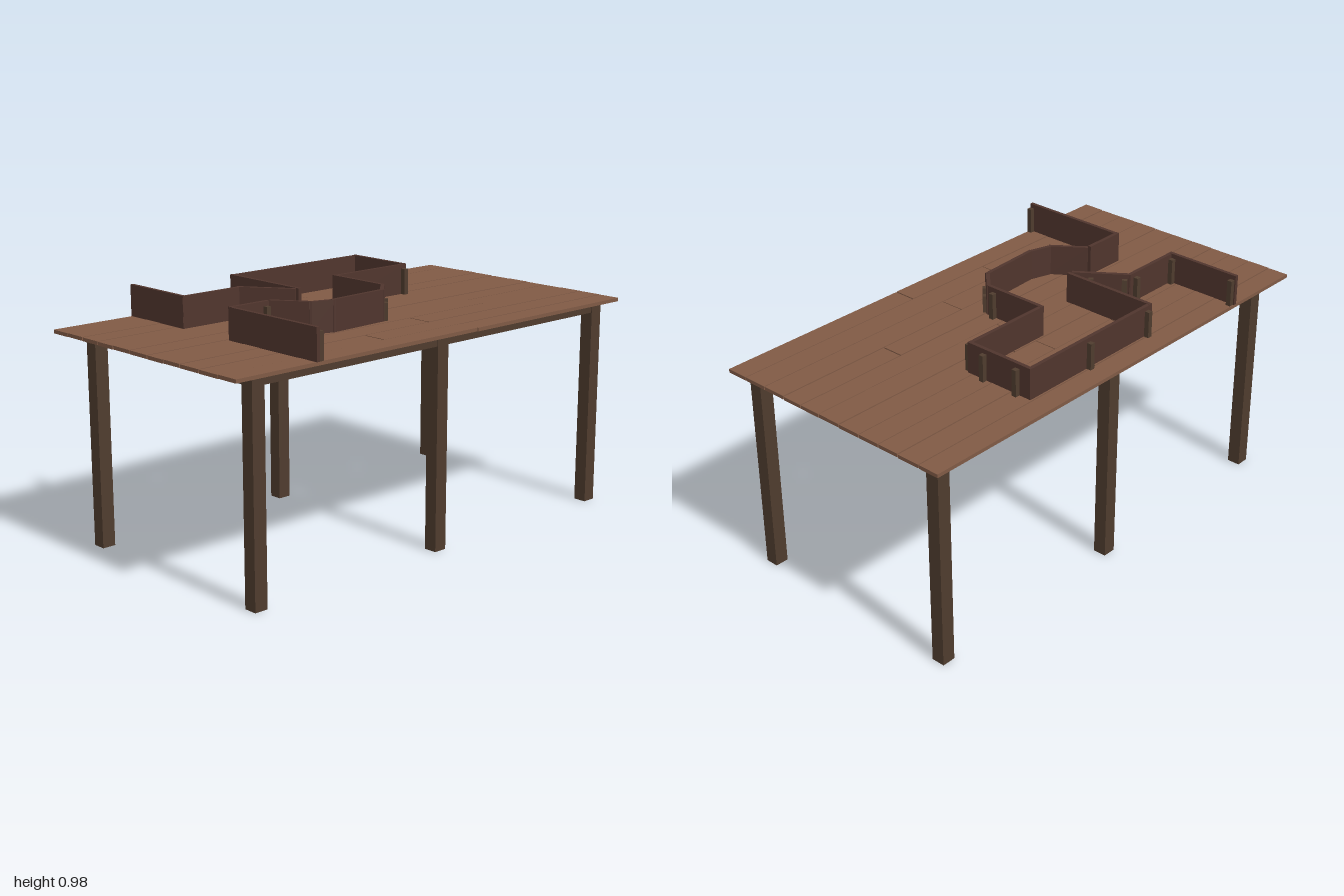
import * as THREE from 'three';

export function createModel() {
  const model = new THREE.Group();
  const material = (color) => new THREE.MeshStandardMaterial({ color, flatShading: true });
  const plankMat = material(0x805a45);
  const wallMat = material(0x50352d);
  const frameMat = material(0x4f3c2e);

  function box(parent, name, mat, size, pos, rotY = 0) {
    const mesh = new THREE.Mesh(new THREE.BoxGeometry(...size), mat);
    mesh.name = name;
    mesh.position.set(...pos);
    mesh.rotation.y = rotY;
    parent.add(mesh);
    return mesh;
  }
  function group(name) {
    const g = new THREE.Group();
    g.name = name;
    model.add(g);
    return g;
  }

  // Table top: rows of planks with narrow gaps, each row split at its joint
  const top = group('tableTop');
  const seams = [-0.53, -0.44, -0.343, -0.25, -0.155, -0.057, 0.045, 0.138, 0.228, 0.33, 0.432, 0.527];
  const joints = [null, 0.1, -0.22, 0.1, 0.215, 0.1, null, 0.515, 0.1, -0.235, 0.16];
  const gap = 0.004;
  joints.forEach((joint, row) => {
    const z0 = seams[row], z1 = seams[row + 1];
    const ends = joint === null ? [-1, 1] : [-1, joint, 1];
    for (let i = 0; i < ends.length - 1; i++) {
      const x0 = ends[i] + (i > 0 ? gap / 2 : 0);
      const x1 = ends[i + 1] - (i < ends.length - 2 ? gap / 2 : 0);
      const lift = ((row * 2 + i) % 3) * 0.0006;
      box(top, 'plank', plankMat, [x1 - x0, 0.014, z1 - z0 - gap],
        [(x0 + x1) / 2, 0.8445 + lift, (z0 + z1) / 2]);
    }
  });

  // Legs and the beams that join them under the top
  const frame = group('frame');
  const legX = [-0.868, 0.022, 0.917];
  const legZ = [0.453, -0.445];
  for (const z of legZ) {
    for (const x of legX) box(frame, 'leg', frameMat, [0.055, 0.838, 0.054], [x, 0.419, z]);
    box(frame, 'longBeam', frameMat, [legX[2] - legX[0], 0.039, 0.048], [0.0245, 0.818, z]);
  }
  for (const x of legX) {
    box(frame, 'crossBeam', frameMat, [0.048, 0.038, legZ[0] - legZ[1]], [x, 0.818, 0.004]);
  }

  // Upright boards following the room outline, as [x, z] paths
  const walls = group('walls');
  const thick = 0.015, wallBase = 0.852, wallHeight = 0.123;
  const paths = [
    [[-0.64, -0.523], [-0.64, -0.213], [-0.375, -0.213], [-0.25, -0.04]],
    [[-0.23, -0.035], [-0.23, -0.425], [0.435, -0.425], [0.435, -0.14], [0.055, -0.14],
      [0.055, 0.125], [-0.02, 0.2], [-0.28, 0.213], [-0.37, 0.185], [-0.455, 0.07]],
    [[-0.475, 0.065], [-0.64, 0.065], [-0.64, 0.52]],
  ];
  for (const path of paths) {
    for (let i = 0; i < path.length - 1; i++) {
      const [ax, az] = path[i], [bx, bz] = path[i + 1];
      const length = Math.hypot(bx - ax, bz - az) + thick * 0.9;
      // tiny height steps keep overlapping corner tops apart
      const h = wallHeight - (i % 2) * 0.001;
      box(walls, 'wall', wallMat, [length, h, thick],
        [(ax + bx) / 2, wallBase + h / 2, (az + bz) / 2], -Math.atan2(bz - az, bx - ax));
    }
  }

  // Small support posts against the walls: x, z, top height, turn
  const posts = group('wallPosts');
  const spots = [
    [-0.623, -0.515, 0.957, 0], [-0.623, -0.23, 0.957, 0], [-0.403, -0.23, 0.957, 0],
    [-0.355, -0.207, 0.957, -0.95], [-0.277, -0.103, 0.957, -0.95], [-0.246, -0.085, 0.957, 0],
    [-0.205, -0.442, 0.957, 0], [0.128, -0.442, 0.957, 0],
    [0.452, -0.372, 0.957, 0], [0.452, -0.215, 0.957, 0], [0.425, -0.123, 0.957, 0],
    [0.072, -0.123, 0.957, 0], [0.072, 0.09, 0.957, 0],
    [0.05, 0.147, 0.922, 0.78], [0.001, 0.196, 0.922, 0.78],
    [-0.485, 0.081, 0.957, 0], [-0.623, 0.081, 0.957, 0], [-0.623, 0.515, 0.957, 0],
  ];
  for (const [x, z, y, turn] of spots) {
    box(posts, 'post', frameMat, [0.02, y - wallBase, 0.02], [x, (y + wallBase) / 2, z], turn);
  }

  return model;
}
